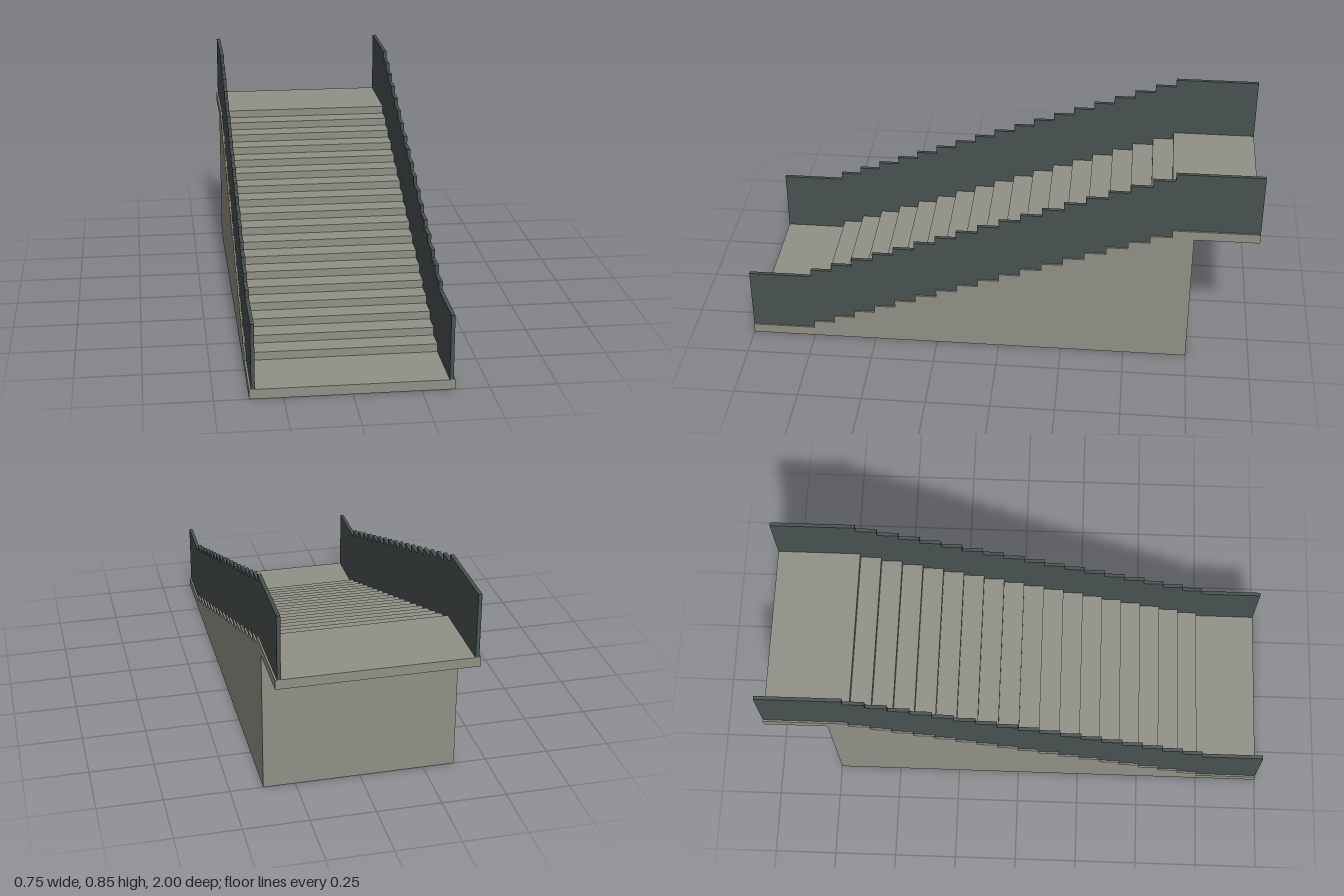
import * as THREE from 'three';

export function createModel() {
  const model = new THREE.Group();
  const stone = new THREE.MeshStandardMaterial({ color: 0x929186 });
  stone.name = 'stone';
  const panel = new THREE.MeshStandardMaterial({ color: 0x495251 });
  panel.name = 'dark panel';

  const STEPS = 18, HALF_RUN = 0.75, SLAB = 0.0375, TOP = 0.6;
  const WIDTH = 0.746, RAIL_X = 0.359, RAIL_W = 0.014, RAIL_H = 0.25;
  const tread = (2 * HALF_RUN) / STEPS;
  const riser = (TOP - SLAB) / STEPS;

  function box(name, material, w, x, y0, y1, zBack, zFront) {
    const mesh = new THREE.Mesh(new THREE.BoxGeometry(w, y1 - y0, zFront - zBack), material);
    mesh.position.set(x, (y0 + y1) / 2, (zBack + zFront) / 2);
    mesh.name = name;
    model.add(mesh);
  }

  // One stone block with a balustrade panel standing on each side
  function section(name, y0, y1, zBack, zFront) {
    box(name, stone, WIDTH, 0, y0, y1, zBack, zFront);
    box(name + 'LeftRail', panel, RAIL_W, RAIL_X, y1, y1 + RAIL_H, zBack, zFront);
    box(name + 'RightRail', panel, RAIL_W, -RAIL_X, y1, y1 + RAIL_H, zBack, zFront);
  }

  // Landings at the foot and head of the stairs
  section('lowerLanding', 0, SLAB, HALF_RUN, 1);
  section('upperLanding', TOP - SLAB, TOP, -1, -HALF_RUN);

  // Solid steps rising towards the back
  for (let i = 0; i < STEPS; i++) {
    const front = HALF_RUN - i * tread;
    section('step' + (i + 1), 0, SLAB + (i + 1) * riser, front - tread, front);
  }
  return model;
}
